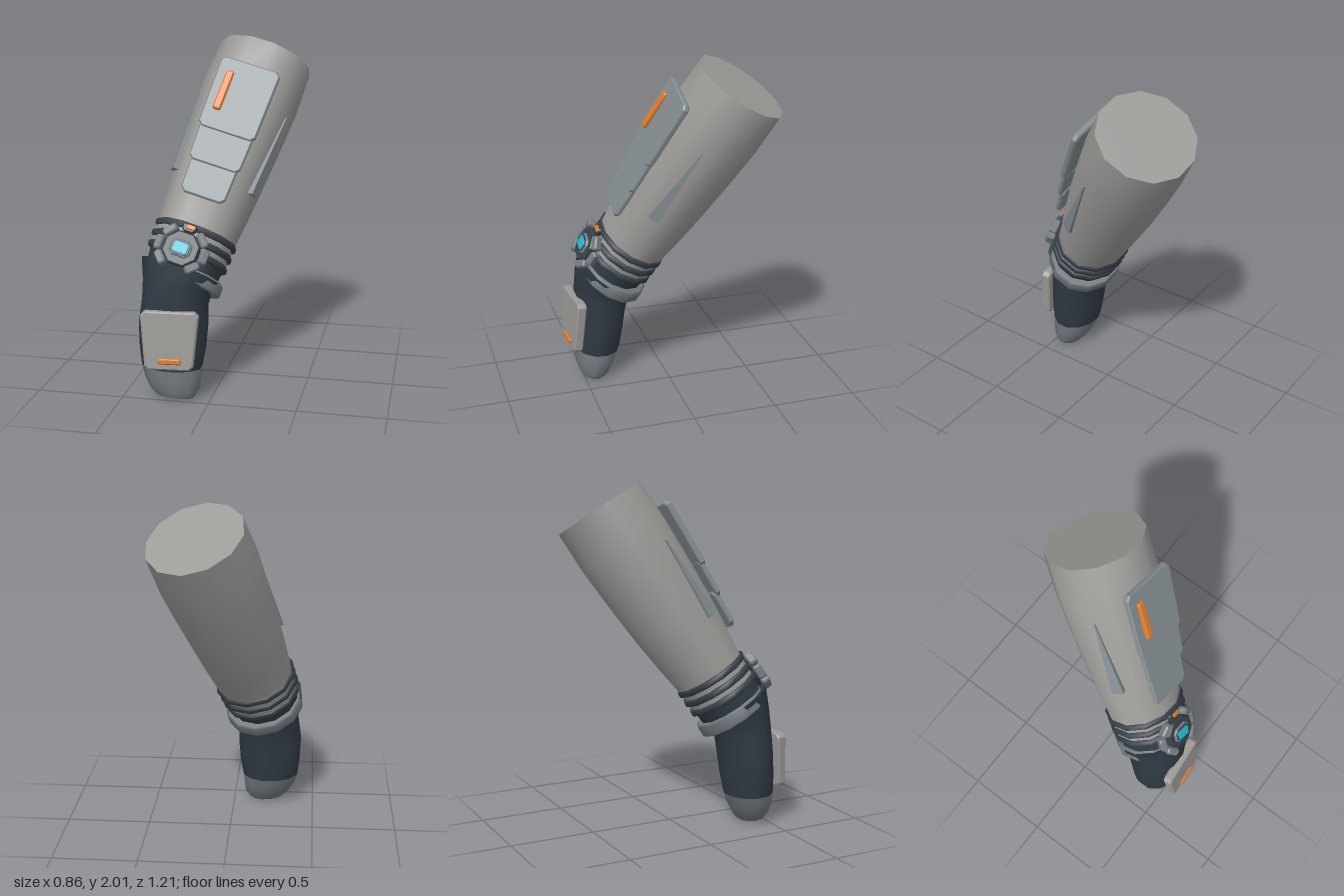
import * as THREE from 'three';

const mat = (name, color) => {
  const m = new THREE.MeshStandardMaterial({ color });
  m.name = name;
  return m;
};

const SIDES = 12;
const UP = new THREE.Vector3(0.26, 0.833, -0.488).normalize();
const FRONT = new THREE.Vector3(0.961, -0.272, 0.05).cross(UP).normalize();
const SIDE = new THREE.Vector3().crossVectors(UP, FRONT);
const FOREARM = new THREE.Quaternion().setFromRotationMatrix(new THREE.Matrix4().makeBasis(SIDE, UP, FRONT));

// Lofted skin through elliptical sections [cx, cy, cz, rx, rz, tilt], listed from low to high.
// Tilt 1 turns a section to the forearm's slope. Caps have their own vertices to stay flat.
function loft(sections) {
  const pos = [], index = [];
  const rings = sections.map(([cx, cy, cz, rx, rz, tilt = 0]) => {
    const q = new THREE.Quaternion().slerp(FOREARM, tilt);
    return Array.from({ length: SIDES }, (_, j) => {
      const a = ((j + 0.5) / SIDES) * Math.PI * 2;
      return new THREE.Vector3(Math.sin(a) * rx, 0, Math.cos(a) * rz)
        .applyQuaternion(q).add(new THREE.Vector3(cx, cy, cz));
    });
  });
  const addRing = (ring) => {
    const start = pos.length / 3;
    ring.forEach((p) => pos.push(p.x, p.y, p.z));
    return start;
  };
  const starts = rings.map(addRing);
  for (let i = 0; i < rings.length - 1; i++) {
    for (let j = 0; j < SIDES; j++) {
      const k = (j + 1) % SIDES;
      const a = starts[i] + j, b = starts[i] + k, c = starts[i + 1] + j, d = starts[i + 1] + k;
      index.push(a, b, d, a, d, c);
    }
  }
  const low = addRing(rings[0]), high = addRing(rings[rings.length - 1]);
  for (let j = 1; j < SIDES - 1; j++) {
    index.push(low, low + j + 1, low + j, high, high + j, high + j + 1);
  }
  const g = new THREE.BufferGeometry();
  g.setAttribute('position', new THREE.Float32BufferAttribute(pos, 3));
  g.setIndex(index);
  g.computeVertexNormals();
  return g;
}

// Flat plate with clipped corners and a small bevel, centred on its own middle.
function plate(topWidth, bottomWidth, height, depth, clip) {
  const t = topWidth / 2, b = bottomWidth / 2, h = height / 2, c = clip;
  const shape = new THREE.Shape([
    [-b + c, -h], [b - c, -h], [b, -h + c], [t, h - c],
    [t - c, h], [-t + c, h], [-t, h - c], [-b, -h + c],
  ].map(([x, y]) => new THREE.Vector2(x, y)));
  const bevel = Math.min(0.008, depth / 4);
  return new THREE.ExtrudeGeometry(shape, {
    depth: depth - 2 * bevel, bevelEnabled: true, bevelSize: bevel, bevelOffset: -bevel,
    bevelThickness: bevel, bevelSegments: 1,
  }).translate(0, 0, -depth / 2 + bevel);
}

export function createModel() {
  const sleeveGrey = mat('sleeveGrey', 0x9c9a97);
  const armourGrey = mat('armourGrey', 0x828b8f);
  const trimGrey = mat('trimGrey', 0x737a7f);
  const darkBand = mat('darkBand', 0x363f47);
  const gloveDark = mat('gloveDark', 0x303943);
  const orange = mat('orange', 0xdb7a2c);
  const cyan = mat('cyan', 0x26b5cd);

  const model = new THREE.Group();
  model.name = 'armouredArm';
  const add = (parent, name, geometry, material, x = 0, y = 0, z = 0) => {
    const m = new THREE.Mesh(geometry, material);
    m.name = name;
    m.position.set(x, y, z);
    parent.add(m);
    return m;
  };

  // Forearm group: local y runs up the arm, z faces its front
  const forearm = new THREE.Group();
  forearm.name = 'forearm';
  forearm.position.set(-0.135, 0.89, 0.2);
  forearm.quaternion.copy(FOREARM);
  model.add(forearm);

  add(forearm, 'sleeve', loft([
    [0, -0.15, 0, 0.226, 0.206], [0, 0, 0, 0.232, 0.208], [0, 0.2, 0, 0.25, 0.235],
    [0, 0.4, 0, 0.264, 0.256], [0, 0.65, 0, 0.28, 0.272], [0, 0.9, 0, 0.292, 0.283],
    [0, 1.158, 0, 0.283, 0.278],
  ]), sleeveGrey);

  // Wrist bands, core and strap
  [0, -0.066, -0.132].forEach((y, i) => {
    const rx = 0.247 - i * 0.003, rz = 0.222;
    add(forearm, 'wristBand' + (i + 1), loft([
      [0, y - 0.02, 0, rx - 0.012, rz - 0.012], [0, y - 0.012, 0, rx, rz],
      [0, y + 0.012, 0, rx, rz], [0, y + 0.02, 0, rx - 0.012, rz - 0.012],
    ]), darkBand);
  });
  add(forearm, 'wristCore', loft([[0, -0.3, 0, 0.2, 0.19], [0, -0.14, 0, 0.22, 0.2]]), gloveDark);
  add(forearm, 'wristStrap', loft([
    [0.012, -0.29, -0.015, 0.228, 0.206], [0.012, -0.28, -0.015, 0.24, 0.217],
    [0.012, -0.222, -0.015, 0.24, 0.217], [0.012, -0.212, -0.015, 0.228, 0.206],
  ]), trimGrey);

  // Overlapping armour plates down the front: [width, height, y, z, depth]
  [[0.355, 0.43, 0.765, 0.288, 0.036], [0.318, 0.24, 0.475, 0.268, 0.03], [0.275, 0.23, 0.283, 0.248, 0.03]]
    .forEach(([w, h, y, z, d], i) => {
      const p = add(forearm, 'armourPlate' + (i + 1), plate(w, w * 0.96, h, d, 0.025), armourGrey, 0, y, z);
      p.rotation.x = 0.05;
    });
  add(forearm, 'armourStripe', plate(0.046, 0.046, 0.24, 0.03, 0.008), orange, -0.096, 0.78, 0.313);

  // Tapered fins on both sides
  for (const s of [1, -1]) {
    const fin = new THREE.BoxGeometry(0.07, 0.5, 0.045);
    const p = fin.attributes.position;
    for (let i = 0; i < p.count; i++) {
      const k = p.getY(i) / 0.5 + 0.5;
      p.setX(i, p.getX(i) * (1 - 0.92 * k));
      p.setZ(i, p.getZ(i) * (1 - 0.8 * k) + 0.252 + 0.033 * k);
    }
    fin.computeVertexNormals();
    add(forearm, s > 0 ? 'leftFin' : 'rightFin', fin, armourGrey, 0, 0.557, 0).rotation.y = s * 1.176;
  }

  // Wrist device: segmented collar around a small screen
  const device = new THREE.Group();
  device.name = 'wristDevice';
  device.position.set(-0.005, -0.14, 0.222);
  forearm.add(device);
  add(device, 'deviceBase', plate(0.2, 0.2, 0.19, 0.05, 0.055), darkBand);
  add(device, 'deviceFrame', plate(0.125, 0.125, 0.1, 0.03, 0.025), trimGrey, 0, 0, 0.022);
  add(device, 'deviceInset', plate(0.105, 0.105, 0.08, 0.008, 0.02), darkBand, 0, 0, 0.037);
  add(device, 'deviceScreen', plate(0.085, 0.085, 0.06, 0.008, 0.01), cyan, 0, 0, 0.042);
  for (let i = 0; i < 8; i++) {
    if (i === 2 || i === 6) continue;
    const a = (i / 8) * Math.PI * 2, x = Math.cos(a) * 0.13, y = Math.sin(a) * 0.115;
    const seg = add(device, 'collarSegment', plate(0.085, 0.085, 0.045, 0.05, 0.01), trimGrey,
      x, y, 0.018 - x * x * 1.8);
    seg.rotation.set(0, x * 3, a - Math.PI / 2, 'YXZ');
  }
  add(device, 'deviceTopBlock', plate(0.09, 0.075, 0.05, 0.04, 0.012), darkBand, 0, 0.125, -0.01);
  add(device, 'deviceLight', plate(0.052, 0.052, 0.026, 0.016, 0.006), orange, 0.01, 0.13, 0.012);

  // Gloved hand
  const knuckle = [-0.23, 0.18, 0.405, 0.175, 0.138, 0.1];
  add(model, 'glove', loft([
    knuckle, [-0.227, 0.29, 0.395, 0.192, 0.148, 0.1], [-0.225, 0.42, 0.383, 0.2, 0.154, 0.12],
    [-0.217, 0.55, 0.37, 0.19, 0.166, 0.3], [-0.21, 0.63, 0.352, 0.2, 0.186, 0.65],
    [-0.193, 0.715, 0.333, 0.238, 0.205, 1],
  ]), gloveDark);
  add(model, 'gloveTip', loft([
    [-0.205, 0.01, 0.44, 0.108, 0.073, 0.25], [-0.21, 0.05, 0.432, 0.14, 0.1, 0.18],
    [-0.222, 0.11, 0.418, 0.162, 0.122, 0.12], knuckle,
  ]), trimGrey);

  // Plate on the back of the hand
  const guard = new THREE.Group();
  guard.name = 'handGuard';
  guard.position.set(-0.208, 0.378, 0.55);
  guard.rotation.set(-0.085, 0.1, 0);
  model.add(guard);
  add(guard, 'handPlate', plate(0.325, 0.272, 0.33, 0.055, 0.022), sleeveGrey);
  add(guard, 'handStripe', plate(0.13, 0.13, 0.032, 0.025, 0.008), orange, 0.005, -0.113, 0.03);

  return model;
}
